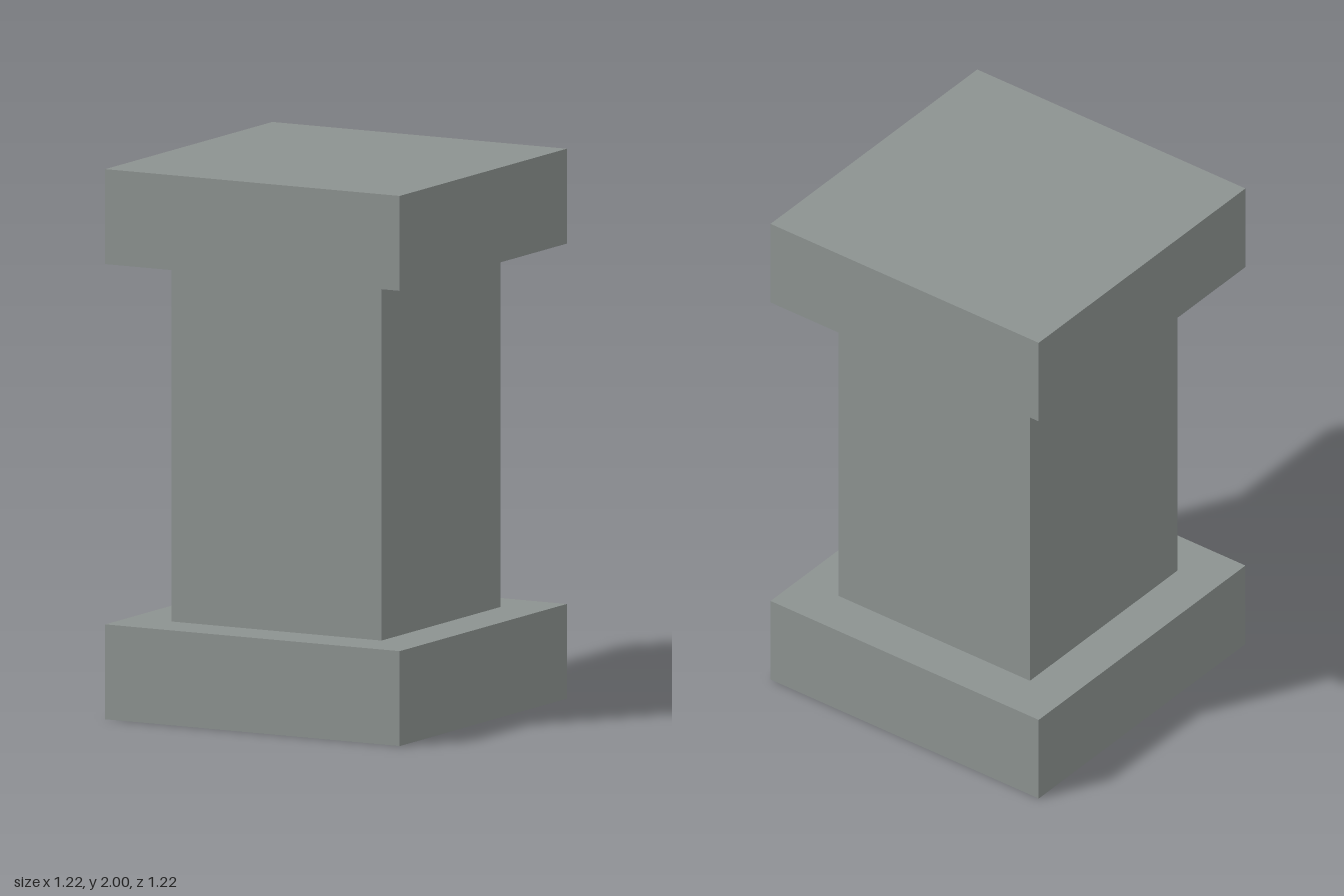
import * as THREE from 'three';

export function createModel() {
  const model = new THREE.Group();
  model.name = 'pedestal';

  const stone = new THREE.MeshStandardMaterial({ color: 0x8c9290 });
  stone.name = 'grey stone';

  // Square block centred on the axis, from height y0 to y1
  function block(name, width, y0, y1) {
    const mesh = new THREE.Mesh(new THREE.BoxGeometry(width, y1 - y0, width), stone);
    mesh.name = name;
    mesh.position.y = (y0 + y1) / 2;
    model.add(mesh);
  }

  const slabWidth = 1.215, slabHeight = 0.345, height = 2;
  block('base', slabWidth, 0, slabHeight);
  block('shaft', 0.867, slabHeight, height - slabHeight);
  block('cap', slabWidth, height - slabHeight, height);

  return model;
}
